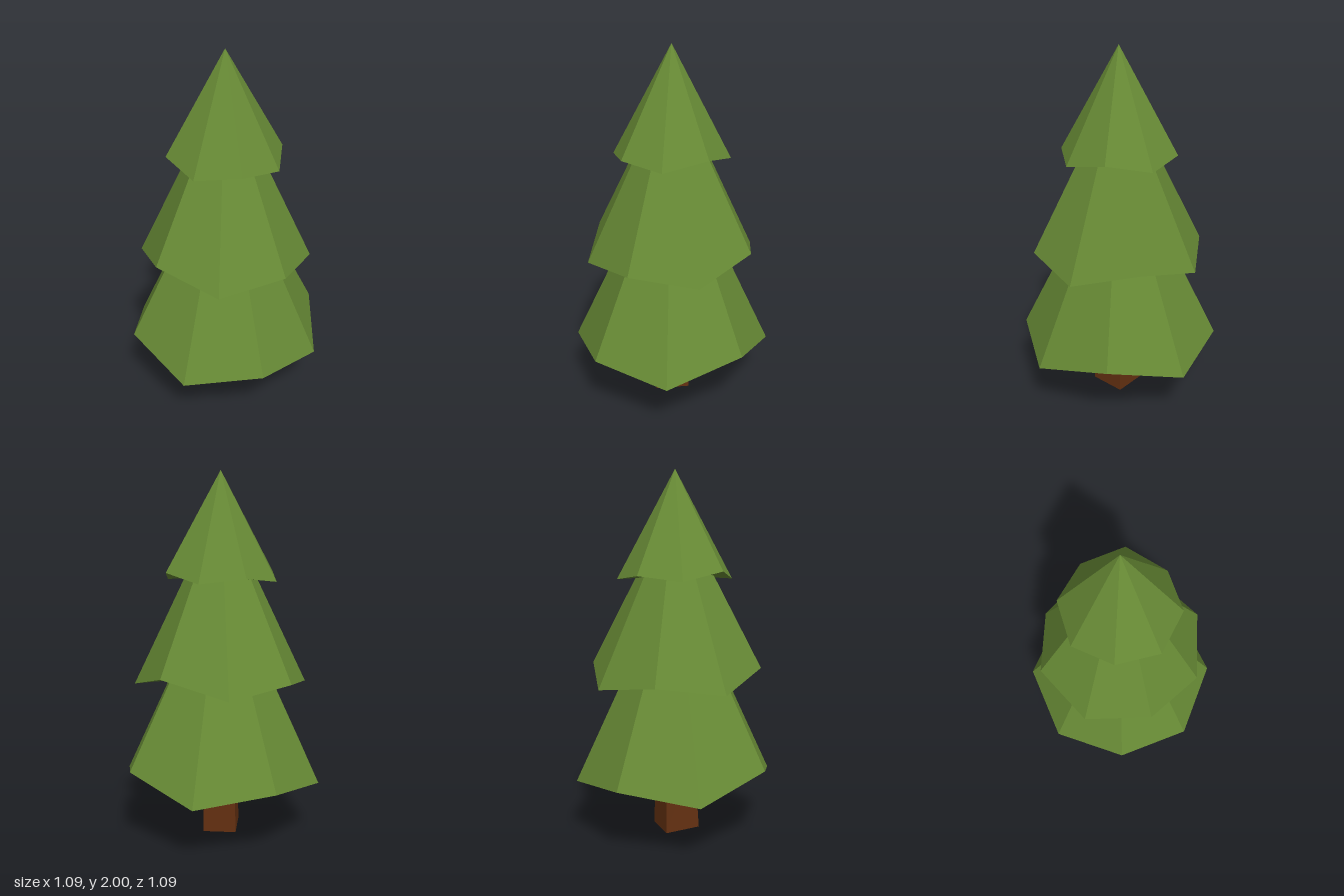
import * as THREE from 'three';

const foliage = new THREE.MeshStandardMaterial({ color: 0x678a35 });
foliage.name = 'leaf green';
const bark = new THREE.MeshStandardMaterial({ color: 0x633011 });
bark.name = 'bark brown';

// Faceted mesh from a list of corner points, three per triangle
function facetedMesh(name, corners, material) {
  const geometry = new THREE.BufferGeometry().setFromPoints(corners);
  geometry.computeVertexNormals();
  const mesh = new THREE.Mesh(geometry, material);
  mesh.name = name;
  return mesh;
}

// Eight-sided cone whose rim rises and dips; the four heights repeat around it
function tier(name, radius, startDegrees, heights, apexY, baseY) {
  const rim = [];
  for (let i = 0; i < 8; i++) {
    const a = THREE.MathUtils.degToRad(startDegrees + i * 45);
    rim.push(new THREE.Vector3(radius * Math.cos(a), heights[i % 4], radius * Math.sin(a)));
  }
  const apex = new THREE.Vector3(0, apexY, 0);
  const base = new THREE.Vector3(0, baseY, 0);
  const corners = [];
  rim.forEach((p, i) => {
    const next = rim[(i + 1) % 8];
    corners.push(apex, next, p, base, p, next);
  });
  return facetedMesh(name, corners, foliage);
}

// Tapered four-sided trunk with a slightly uneven foot
function trunk() {
  const foot = [[0.12, 0, 0.05], [-0.055, 0.01, 0.135], [-0.135, 0.01, -0.05], [0.05, 0, -0.12]]
    .map((p) => new THREE.Vector3(...p));
  const top = [[0.108, 0.045], [-0.045, 0.108], [-0.108, -0.045], [0.045, -0.108]]
    .map(([x, z]) => new THREE.Vector3(x, 0.42, z));
  const corners = [];
  for (let i = 0; i < 4; i++) {
    const j = (i + 1) % 4;
    corners.push(foot[i], top[i], foot[j], foot[j], top[i], top[j]);
  }
  corners.push(foot[0], foot[1], foot[2], foot[0], foot[2], foot[3]);
  corners.push(top[0], top[2], top[1], top[0], top[3], top[2]);
  return facetedMesh('trunk', corners, bark);
}

export function createModel() {
  const tree = new THREE.Group();
  tree.name = 'pineTree';
  tree.add(
    trunk(),
    tier('lowerBranches', 0.558, -12.4, [0.31, 0.42, 0.31, 0.37], 1.49, 0.35),
    tier('middleBranches', 0.477, 12.9, [0.94, 0.85, 0.9, 0.85], 1.84, 0.885),
    tier('upperBranches', 0.317, -6.3, [1.416, 1.464, 1.416, 1.443], 2, 1.435),
  );
  return tree;
}
